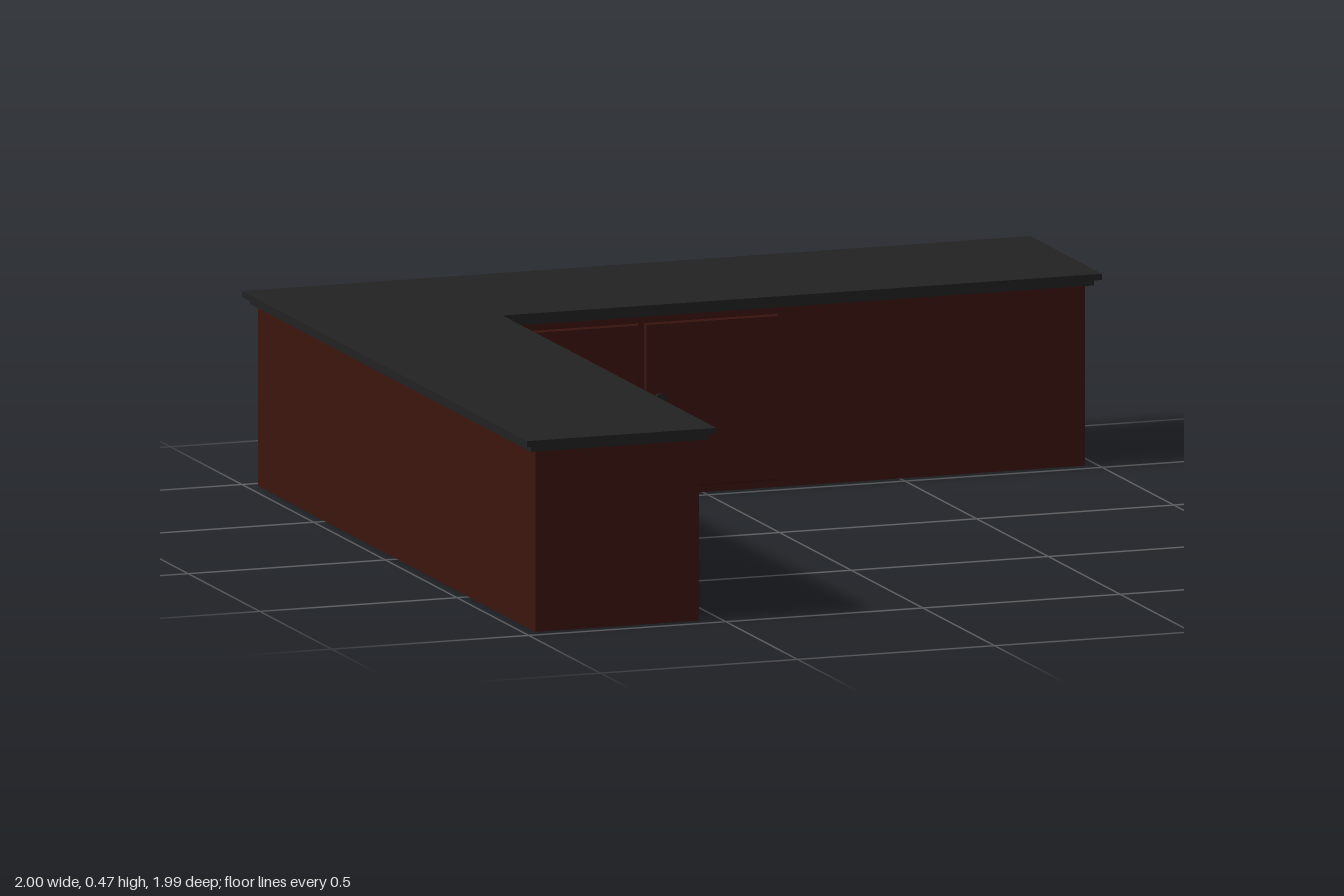
import * as THREE from 'three';

const wood = new THREE.MeshStandardMaterial({ color: 0x3d150e });
const stone = new THREE.MeshStandardMaterial({ color: 0x222222 });

// L-shaped slab: outer corners at lo/hi, inner corner at (ix, iz), from y0 to y1
function lSlab(name, lo, hiX, hiZ, ix, iz, y0, y1, material) {
  const pts = [[lo, lo], [hiX, lo], [hiX, iz], [ix, iz], [ix, hiZ], [lo, hiZ]];
  const shape = new THREE.Shape(pts.map(([x, z]) => new THREE.Vector2(x, -z)));
  const geo = new THREE.ExtrudeGeometry(shape, { depth: y1 - y0, bevelEnabled: false });
  geo.rotateX(-Math.PI / 2).translate(0, y0, 0);
  const mesh = new THREE.Mesh(geo, material);
  mesh.name = name;
  return mesh;
}

// Slab on a cabinet face: u0..u1 along the face, y0..y1 up, d0..d1 outward
function slab(name, u0, u1, y0, y1, d0, d1) {
  const mesh = new THREE.Mesh(new THREE.BoxGeometry(u1 - u0, y1 - y0, d1 - d0), wood);
  mesh.position.set((u0 + u1) / 2, (y0 + y1) / 2, (d0 + d1) / 2);
  mesh.name = name;
  return mesh;
}

// Raised panel with a bevelled rim
function panel(name, u0, u1, y0, y1, d) {
  const b = 0.004;
  const shape = new THREE.Shape([
    [u0 + b, y0 + b], [u1 - b, y0 + b], [u1 - b, y1 - b], [u0 + b, y1 - b],
  ].map((p) => new THREE.Vector2(...p)));
  const geo = new THREE.ExtrudeGeometry(shape, {
    depth: 0.003, bevelSize: b, bevelThickness: b, bevelSegments: 1,
  });
  const mesh = new THREE.Mesh(geo.translate(0, 0, d), wood);
  mesh.name = name;
  return mesh;
}

// Knob: slim stem with an eight-sided head
function knob(u, y, d) {
  const group = new THREE.Group();
  group.name = 'knob';
  for (const [part, r, depth, at] of [['knobStem', 0.008, 0.012, 0.006], ['knobHead', 0.018, 0.010, 0.014]]) {
    const geo = new THREE.CylinderGeometry(r, r, depth, 8);
    geo.rotateY(Math.PI / 8).rotateX(Math.PI / 2);
    const mesh = new THREE.Mesh(geo, stone);
    mesh.name = part;
    mesh.position.z = at;
    group.add(mesh);
  }
  group.position.set(u, y, d);
  return group;
}

export function createModel() {
  const model = new THREE.Group();
  model.name = 'cornerCounter';

  // Cabinet body and two-step worktop
  model.add(
    lSlab('cabinetBody', -0.97, 0.97, 0.965, -0.555, -0.535, 0, 0.44, wood),
    lSlab('worktopLower', -0.985, 0.985, 0.975, -0.535, -0.515, 0.44, 0.455, stone),
    lSlab('worktopUpper', -1, 1, 0.99, -0.52, -0.5, 0.455, 0.47, stone),
  );

  // Double doors on the back run, u = x
  const back = new THREE.Group();
  back.name = 'doubleDoorFront';
  back.position.z = -0.535;
  back.add(slab('doorFrame', -0.52, 0.2, 0.004, 0.438, -0.01, 0.008));
  back.add(panel('leftmostDoor', -0.505, -0.165, 0.018, 0.422, 0.006));
  back.add(panel('rightmostDoor', -0.152, 0.188, 0.018, 0.422, 0.006));
  back.add(knob(-0.2, 0.235, 0.015), knob(-0.118, 0.235, 0.015));
  model.add(back);

  // Single door and drawers on the side run, turned to face +x so u = -z
  const side = new THREE.Group();
  side.name = 'sideFront';
  side.rotation.y = Math.PI / 2;
  side.position.x = -0.555;
  side.add(slab('sideDoorFrame', -0.69, -0.335, 0.004, 0.438, -0.01, 0.006));
  side.add(panel('sideDoor', -0.655, -0.352, 0.035, 0.405, 0.004));
  side.add(knob(-0.385, 0.235, 0.012));
  side.add(slab('drawerFrame', -0.325, 0, 0.045, 0.395, -0.01, 0.006));
  for (const y of [0.11, 0.22, 0.335]) {
    side.add(panel('drawer', -0.302, -0.018, y - 0.046, y + 0.046, 0.004));
    side.add(knob(-0.175, y, 0.012));
  }
  model.add(side);

  return model;
}
